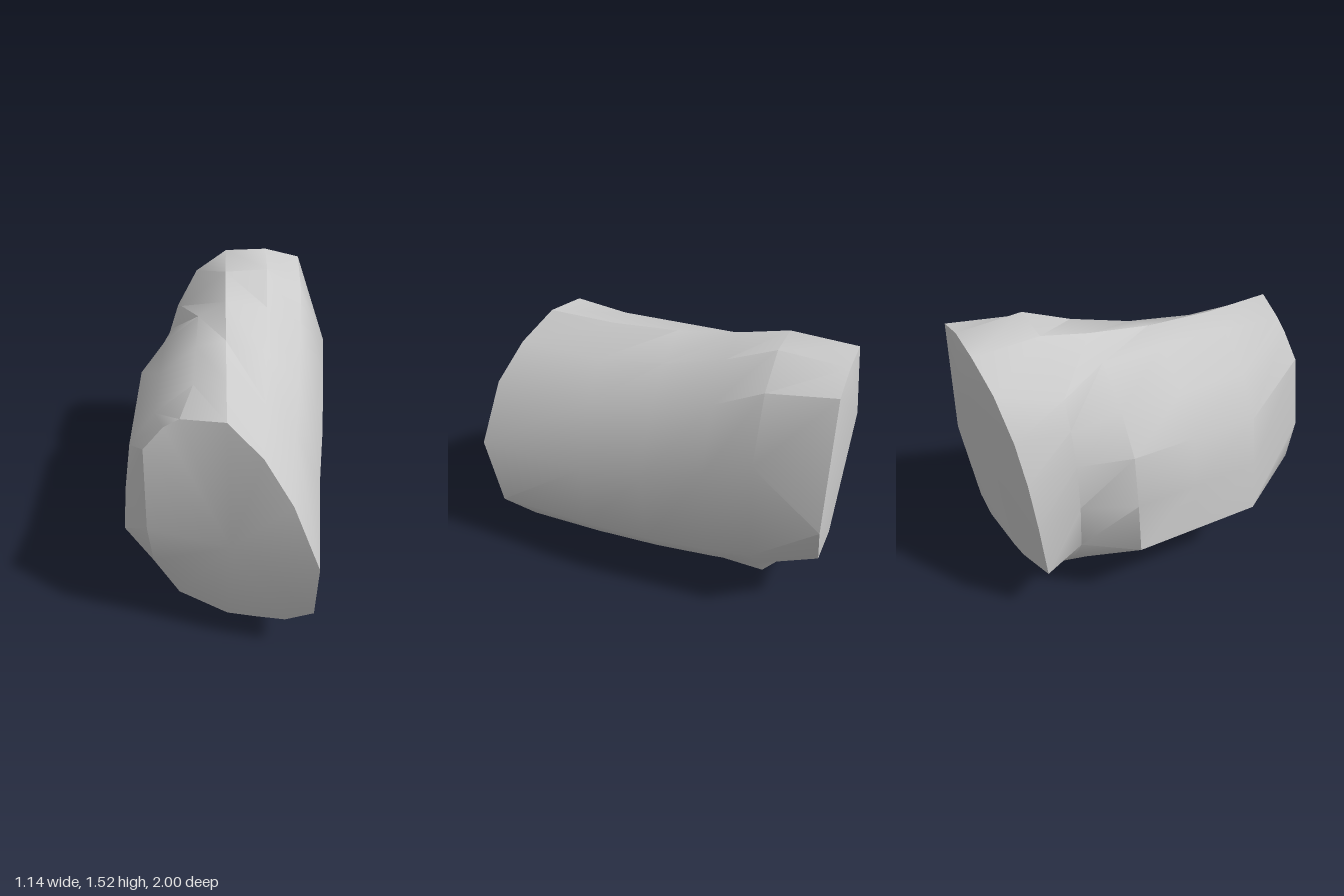
import * as THREE from 'three';
import { toCreasedNormals } from 'three/addons/utils/BufferGeometryUtils.js';

// Outlines [x, y] run clockwise seen from the front, starting at the top.
const frontRim = [[0, 1.39], [.17, 1.26], [.31, 1.06], [.445, .72], [.445, .33], [.31, .15], [.15, .08],
  [0, .02], [-.26, .21], [-.38, .51], [-.4, .75], [-.4, 1.2], [-.3, 1.32], [-.22, 1.37]];
const hollow = [[-.02, 1.51], [.22, 1.525], [.42, 1.4], [.57, 1.07], [.48, .42], [.33, .23], [.18, .04],
  [-.1, .02], [-.25, .18], [-.38, .4], [-.4, .68], [-.39, .95], [-.34, 1.14], [-.28, 1.29]];
const backRim = [[-.02, 1.49], [.22, 1.5], [.42, 1.45], [.52, .72], [.31, .36], [.1, .38], [-.06, .25],
  [-.13, .22], [-.26, .26], [-.42, .32], [-.44, .68], [-.39, .93], [-.32, 1.15], [-.2, 1.37]];
// Left half of the outline where the side bulges
const bulge = [[-.12, 0], [-.34, .2], [-.575, .41], [-.55, .7], [-.51, .99], [-.37, 1.19], [-.17, 1.36]];

// The front leans to one side and domes; the back is chipped low and on the left.
const frontZ = (x, y) => .87 + .3 * x - .38 * (y - .8) ** 2;
const backZ = (x, y) => -.95 + .5 * Math.max(0, .4 - y) + .3 * Math.max(0, -.1 - x);

// Section through the bulge: its right half eases from the front rim to the hollow.
function bulgeSection(z) {
  const t = (.74 - z) / 1.34;
  const swell = Math.sin(Math.PI * t);
  const right = frontRim.slice(0, 7).map(([x, y], i) => [
    THREE.MathUtils.lerp(x, hollow[i][0], t) * (1 + .04 * swell),
    THREE.MathUtils.lerp(y, hollow[i][1], t * t) * (1 - .02 * swell),
    z,
  ]);
  return [...right, ...bulge.map(([x, y]) => [x, y, z])];
}

function rockGeometry() {
  const rings = [
    frontRim.map(([x, y]) => [x, y, frontZ(x, y)]),
    ...[.37, 0, -.34].map(bulgeSection),
    hollow.map(([x, y]) => [x, y, -.6]),
    backRim.map(([x, y]) => [x, y, backZ(x, y)]),
  ];
  const n = frontRim.length;
  const last = (rings.length - 1) * n;
  const front = rings.length * n;
  const back = front + 1;
  const positions = [...rings.flat(2), .02, .74, .87, .12, 1.2, -1];
  const index = [];
  for (let j = 0; j < n; j++) {
    const k = (j + 1) % n;
    for (let r = 0; r < last; r += n) {
      index.push(r + j, r + k, r + n + j, r + k, r + n + k, r + n + j);
    }
    // broken ends
    index.push(front, k, j, back, last + j, last + k);
  }
  const geometry = new THREE.BufferGeometry();
  geometry.setAttribute('position', new THREE.Float32BufferAttribute(positions, 3));
  geometry.setIndex(index);
  return toCreasedNormals(geometry, THREE.MathUtils.degToRad(36));
}

export function createModel() {
  const group = new THREE.Group();
  group.name = 'boulder';
  const rock = new THREE.Mesh(rockGeometry(), new THREE.MeshStandardMaterial({ color: 0xcccccc }));
  rock.name = 'rock';
  group.add(rock);
  return group;
}
